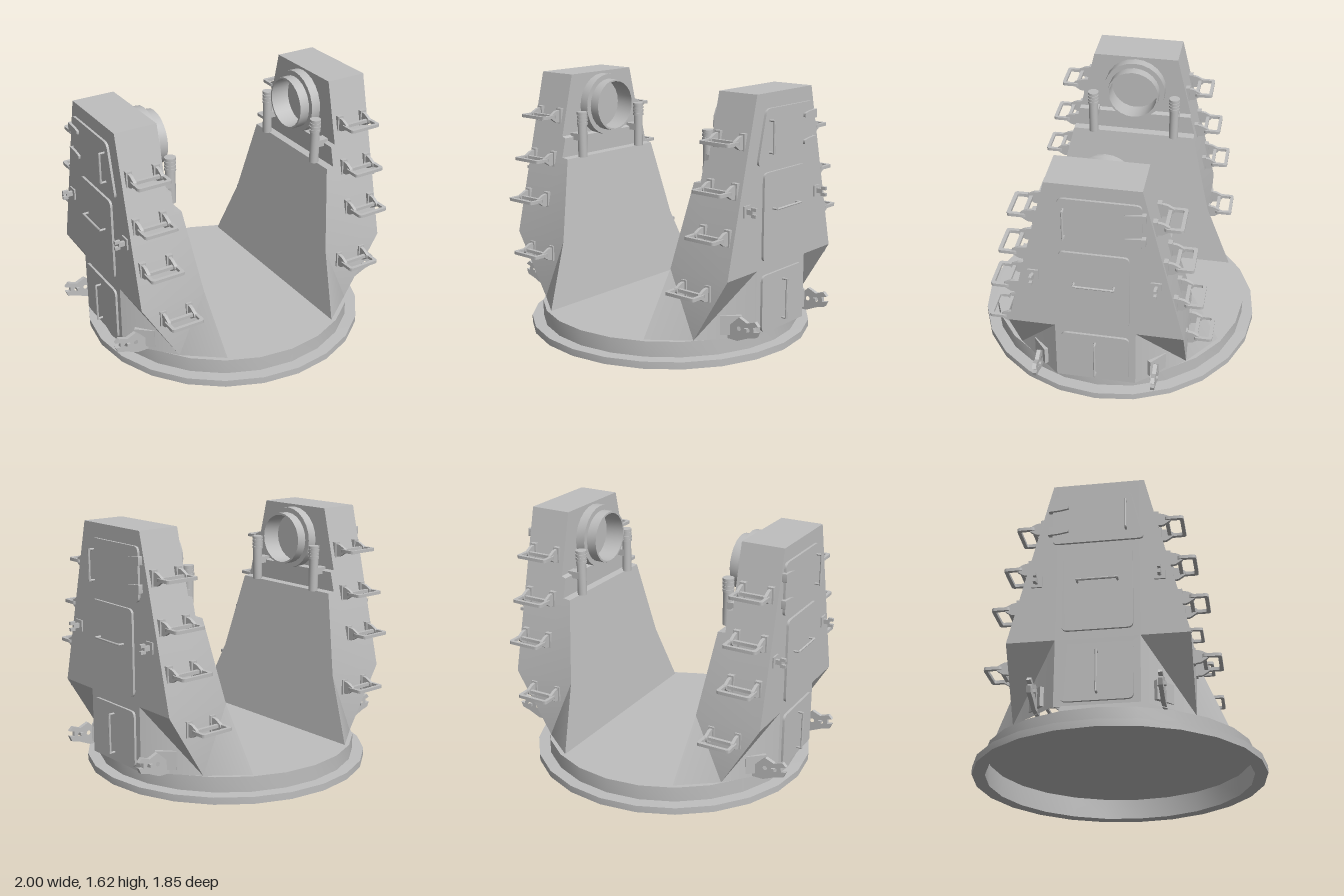
import * as THREE from 'three';
import { toCreasedNormals } from 'three/addons/utils/BufferGeometryUtils.js';

const metal = new THREE.MeshStandardMaterial({ color: 0xbebebe });
metal.name = 'grey metal';

// Mirror a geometry across x and/or z, keeping its faces turned outward
function mirrored(geo, sx, sz) {
  const g = geo.index ? geo.toNonIndexed() : geo;
  const p = g.attributes.position;
  const out = [];
  for (let i = 0; i < p.count; i += 3) {
    const order = sx * sz < 0 ? [0, 2, 1] : [0, 1, 2];
    for (const k of order) out.push(p.getX(i + k) * sx, p.getY(i + k), p.getZ(i + k) * sz);
  }
  const r = new THREE.BufferGeometry();
  r.setAttribute('position', new THREE.Float32BufferAttribute(out, 3));
  return toCreasedNormals(r, 0.5);
}

function box(x0, x1, y0, y1, z0, z1) {
  return new THREE.BoxGeometry(x1 - x0, y1 - y0, z1 - z0)
    .translate((x0 + x1) / 2, (y0 + y1) / 2, (z0 + z1) / 2);
}

// Round bar between two points
function rod(a, b, r) {
  const va = new THREE.Vector3(...a), vb = new THREE.Vector3(...b);
  const d = vb.clone().sub(va);
  const g = new THREE.CylinderGeometry(r, r, d.length() + r, 8);
  g.applyQuaternion(new THREE.Quaternion().setFromUnitVectors(new THREE.Vector3(0, 1, 0), d.normalize()));
  return g.translate((va.x + vb.x) / 2, (va.y + vb.y) / 2, (va.z + vb.z) / 2);
}

// Polygon with rounded corners
function roundedShape(pts, r) {
  const v = pts.map(p => new THREE.Vector2(...p));
  const s = new THREE.Shape();
  v.forEach((c, i) => {
    const a = v[(i + v.length - 1) % v.length], b = v[(i + 1) % v.length];
    const p = c.clone().add(a.clone().sub(c).setLength(r));
    const q = c.clone().add(b.clone().sub(c).setLength(r));
    if (i) s.lineTo(p.x, p.y); else s.moveTo(p.x, p.y);
    s.quadraticCurveTo(c.x, c.y, q.x, q.y);
  });
  s.closePath();
  return s;
}

function extrude(shape, depth) {
  return new THREE.ExtrudeGeometry(shape, { depth, bevelEnabled: false, curveSegments: 4 });
}

// Plate facing sideways; points are (z, y)
function sidePlate(pts, r, x0, thick) {
  return extrude(roundedShape(pts.map(([z, y]) => [-z, y]), r), thick)
    .rotateY(Math.PI / 2).translate(x0, 0, 0);
}

// Tower body lofted through six-cornered levels
function towerBody() {
  const levels = [[0.145, 0.40, 0.72, 0.64, 0.54]];
  for (const [y, xi] of [[0.56, 0.46], [1.08, 0.535], [1.085, 0.585], [1.21, 0.585], [1.22, 0.615], [1.62, 0.615]]) {
    const z = 0.54 - 0.245 * (y - 0.56);
    levels.push([y, xi, z, 0.89, z]);
  }
  const loops = levels.map(([y, xi, zi, xo, zo]) => [
    [xi, y, zi], [xo, y, zo], [0.89, y, 0.25], [0.89, y, -0.25], [xo, y, -zo], [xi, y, -zi]]);
  const out = [];
  const tri = (a, b, c) => out.push(...a, ...b, ...c);
  for (let i = 0; i + 1 < loops.length; i++) {
    const lo = loops[i], hi = loops[i + 1];
    for (let k = 0; k < 6; k++) {
      const n = (k + 1) % 6;
      // The split runs so that the lower corners fold symmetrically
      if (k === 1 || k === 4) { tri(lo[k], lo[n], hi[n]); tri(lo[k], hi[n], hi[k]); }
      else { tri(lo[k], lo[n], hi[k]); tri(lo[n], hi[n], hi[k]); }
    }
  }
  const top = loops[loops.length - 1];
  for (let k = 1; k < 5; k++) tri(top[0], top[k], top[k + 1]);
  const g = new THREE.BufferGeometry();
  g.setAttribute('position', new THREE.Float32BufferAttribute(out, 3));
  return g;
}

// Climbing rung: two gussets and a rectangular step frame
function rungParts(cx, y, z) {
  const frame = roundedShape([[-0.11, -0.163], [0.11, -0.163], [0.11, -0.05], [-0.11, -0.05]], 0.02);
  frame.holes.push(roundedShape([[-0.088, -0.141], [-0.088, -0.072], [0.088, -0.072], [0.088, -0.141]], 0.01));
  const parts = [extrude(frame, 0.02).rotateX(-Math.PI / 2).translate(cx, y - 0.01, z)];
  for (const s of [-1, 1]) {
    const x = cx + s * 0.09;
    parts.push(box(x - 0.02, x + 0.02, y - 0.05, y + 0.05, z - 0.03, z + 0.012));
    parts.push(sidePlate([[z - 0.03, y - 0.045], [z + 0.04, y - 0.042], [z + 0.085, y - 0.012],
      [z + 0.085, y + 0.012], [z + 0.04, y + 0.036], [z - 0.03, y + 0.045]], 0.01, x - 0.01, 0.02));
  }
  return parts;
}

// Forked towing hook, profile in x and y
function hookPlate() {
  const s = new THREE.Shape([[0.73, 0.15], [0.74, 0.19], [0.86, 0.30], [0.92, 0.275], [0.975, 0.295], [1.0, 0.27],
    [0.965, 0.26], [0.968, 0.23], [1.0, 0.235], [0.985, 0.2], [0.93, 0.185], [0.85, 0.15]]
    .map(p => new THREE.Vector2(...p)));
  for (const [x, y] of [[0.86, 0.23], [0.925, 0.235]]) {
    s.holes.push(new THREE.Path().absarc(x, y, 0.015, 0, Math.PI * 2, true));
  }
  return extrude(s, 0.025).translate(0, 0, 0.358);
}

function buildTower(sx) {
  const tower = new THREE.Group();
  tower.name = sx > 0 ? 'leftTower' : 'rightTower';
  const add = (name, geo, sz = 1) => {
    const m = new THREE.Mesh(mirrored(geo, sx, sz), metal);
    m.name = name;
    tower.add(m);
  };
  add('towerBody', towerBody());

  // Access doors
  add('upperDoor', sidePlate([[0.28, 1.2], [-0.28, 1.2], [-0.28, 1.53], [0.2, 1.53]], 0.035, 0.885, 0.02));
  add('middleDoor', sidePlate([[0.21, 0.61], [-0.21, 0.61], [-0.21, 1.15], [0.21, 1.15]], 0.035, 0.885, 0.02));
  add('lowerDoor', sidePlate([[0.21, 0.165], [-0.21, 0.165], [-0.21, 0.52], [0.21, 0.52]], 0.035, 0.885, 0.02));

  // Door handles, ends given as (y, z)
  for (const [[ya, za], [yb, zb]] of [[[1.27, 0.17], [1.46, 0.17]], [[0.925, -0.12], [0.925, 0.12]], [[0.21, 0], [0.46, 0]]]) {
    add('doorHandle', rod([0.938, ya, za], [0.938, yb, zb], 0.007));
    add('handlePost', rod([0.9, ya, za], [0.938, ya, za], 0.007));
    add('handlePost', rod([0.9, yb, zb], [0.938, yb, zb], 0.007));
  }

  // Upper door hinges
  for (const y of [1.285, 1.45]) {
    add('hingeLeaf', sidePlate([[-0.18, y - 0.012], [-0.235, y - 0.022], [-0.305, y - 0.027],
      [-0.305, y + 0.027], [-0.235, y + 0.022], [-0.18, y + 0.012]], 0.004, 0.885, 0.035));
  }

  // Trunnion ring, open toward the centre
  const ring = [[0.205, 0], [0.205, 0.065], [0.172, 0.065], [0.172, 0.132], [0.16, 0.132], [0.16, 0]];
  add('trunnionRing', new THREE.LatheGeometry(ring.map(p => new THREE.Vector2(...p)), 24)
    .rotateZ(Math.PI / 2).translate(0.617, 1.4, 0));

  for (const sz of [1, -1]) {
    // Climbing rungs
    for (const [cx, y, z] of [[0.755, 1.35, 0.35], [0.755, 1.07, 0.418], [0.755, 0.805, 0.482], [0.66, 0.465, 0.54]]) {
      for (const g of rungParts(cx, y, z)) add('climbingRung', g, sz);
    }
    // Locking pins with ribbed caps and their clamps
    add('lockingPin', new THREE.CylinderGeometry(0.031, 0.031, 0.22, 16).translate(0.53, 1.19, 0.275), sz);
    add('pinCap', new THREE.CylinderGeometry(0.031, 0.031, 0.085, 16).translate(0.53, 1.335, 0.275), sz);
    for (let i = 0; i < 4; i++) {
      add('pinCapRib', new THREE.CylinderGeometry(0.036, 0.036, 0.016, 16).translate(0.53, 1.303 + i * 0.023, 0.275), sz);
    }
    add('pinClamp', box(0.535, 0.62, 1.19, 1.235, 0.245, 0.305), sz);

    // Small cleats on the outer wall
    add('cleatPlate', box(0.885, 0.9, 0.915, 0.985, 0.335, 0.4), sz);
    add('cleatArm', box(0.89, 0.94, 0.935, 0.965, 0.36, 0.378), sz);
    add('cleatFork', box(0.93, 0.965, 0.96, 0.98, 0.36, 0.378), sz);
    add('cleatFork', box(0.93, 0.965, 0.92, 0.94, 0.36, 0.378), sz);

    // Towing hooks on the lower chamfers
    add('towingHook', hookPlate(), sz);
    add('hookMount', new THREE.BoxGeometry(0.13, 0.12, 0.025)
      .rotateY(Math.atan2(0.25, 0.29)).translate(0.79, 0.235, 0.37), sz);
    add('hookPin', box(0.905, 0.925, 0.225, 0.245, 0.345, 0.396), sz);
  }
  return tower;
}

export function createModel() {
  const model = new THREE.Group();
  model.name = 'yokeMount';

  // Turntable base: a shallow drum with a flange, hollow underneath
  const profile = [[0, 0.137], [0.843, 0.137], [0.843, 0], [0.925, 0], [0.925, 0.045],
    [0.85, 0.047], [0.85, 0.145], [0, 0.145]];
  const base = new THREE.LatheGeometry(profile.map(p => new THREE.Vector2(...p)), 24);
  const baseMesh = new THREE.Mesh(mirrored(base, 1, 1), metal);
  baseMesh.name = 'turntableBase';
  model.add(baseMesh, buildTower(1), buildTower(-1));
  return model;
}
